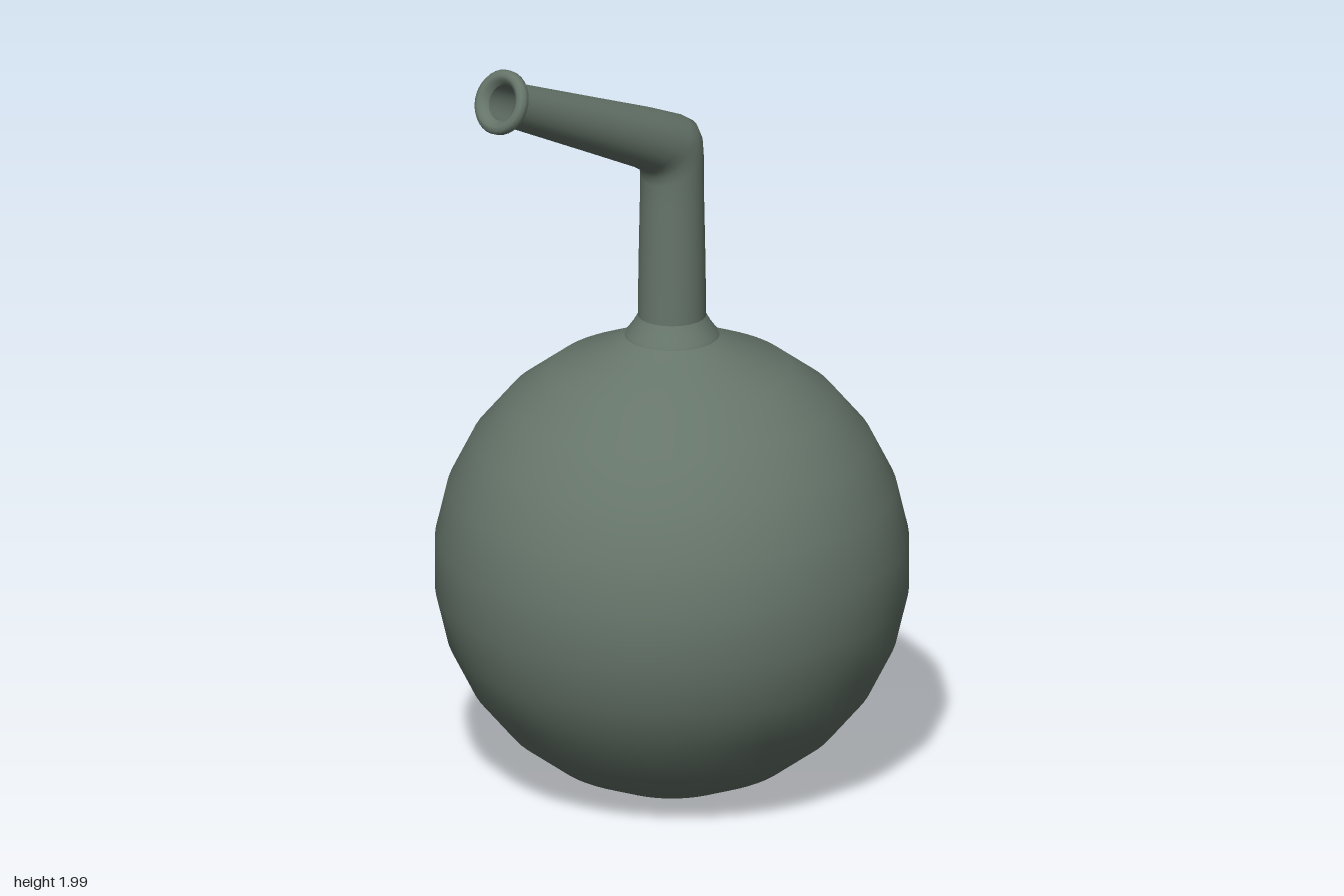
import * as THREE from 'three';

const AXIS_X = 0.025;
const SIDES = 32;

// Skins a list of rings; each ring is [outerX, outerY, innerX, innerY, halfDepth].
function loft(rings) {
  const positions = [];
  const index = [];
  for (const [ox, oy, ix, iy, depth] of rings) {
    for (let j = 0; j < SIDES; j++) {
      const t = (j / SIDES) * Math.PI * 2;
      const c = Math.cos(t) / 2;
      positions.push((ox + ix) / 2 + (ox - ix) * c, (oy + iy) / 2 + (oy - iy) * c, depth * Math.sin(t));
    }
  }
  for (let i = 0; i < rings.length - 1; i++) {
    for (let j = 0; j < SIDES; j++) {
      const a = i * SIDES + j;
      const b = i * SIDES + ((j + 1) % SIDES);
      index.push(a, a + SIDES, b, b, a + SIDES, b + SIDES);
    }
  }
  const geometry = new THREE.BufferGeometry();
  geometry.setAttribute('position', new THREE.Float32BufferAttribute(positions, 3));
  geometry.setIndex(index);
  geometry.computeVertexNormals();
  return geometry;
}

// Upright ring of the neck
const neckRing = (y, r) => [AXIS_X + r, y, AXIS_X - r, y, r];

// Ring square to the slanted spout, at distance s from the elbow
function spoutRing([s, r]) {
  const x = AXIS_X - 0.91 * s;
  const y = 1.65 + 0.414 * s;
  return [x + 0.414 * r, y + 0.91 * r, x - 0.414 * r, y - 0.91 * r, r];
}

export function createModel() {
  const group = new THREE.Group();
  const glaze = new THREE.MeshStandardMaterial({ color: 0x66756a });
  const add = (name, geometry, x = 0, y = 0) => {
    const mesh = new THREE.Mesh(geometry, glaze);
    mesh.name = name;
    mesh.position.set(x, y, 0);
    group.add(mesh);
    return mesh;
  };

  // Round body, cut flat at the bottom
  const radius = 0.585;
  const profile = [];
  for (let i = 0; i <= 11; i++) {
    const a = THREE.MathUtils.degToRad(17 + (146 / 11) * i);
    profile.push(new THREE.Vector2(radius * Math.sin(a), 0.56 - radius * Math.cos(a)));
  }
  profile.push(new THREE.Vector2(0.115, 1.153));
  add('body', new THREE.LatheGeometry(profile, 64), AXIS_X);

  const base = add('base', new THREE.CircleGeometry(profile[0].x, 64), AXIS_X, profile[0].y);
  base.rotation.x = Math.PI / 2;

  // Flared collar between body and neck
  const collar = [[0.117, 1.15], [0.113, 1.16], [0.097, 1.182], [0.084, 1.205]];
  add('collar', new THREE.LatheGeometry(collar.map(([r, y]) => new THREE.Vector2(r, y)), 48), AXIS_X);

  // Neck, elbow and tapering spout in one skin
  add('neckAndSpout', loft([
    neckRing(1.2, 0.084),
    neckRing(1.35, 0.082),
    neckRing(1.5, 0.079),
    [0.103, 1.63, -0.053, 1.565, 0.078],
    [0.1, 1.67, -0.058, 1.588, 0.078],
    [0.085, 1.702, -0.07, 1.604, 0.078],
    [0.055, 1.721, -0.088, 1.615, 0.078],
    ...[[0.11, 0.076], [0.3, 0.068], [0.5, 0.06], [0.625, 0.055]].map(spoutRing),
  ]));

  // Rolled lip and the bore behind it
  add('lip', loft([
    [0.622, 0.053], [0.631, 0.064], [0.634, 0.073], [0.642, 0.08], [0.655, 0.081],
    [0.664, 0.075], [0.667, 0.064], [0.662, 0.053], [0.645, 0.045],
  ].map(spoutRing)));
  add('bore', loft([[0.645, 0.045], [0.4, 0.05], [0.12, 0.055], [0.115, 0.0005]].map(spoutRing)));

  return group;
}
